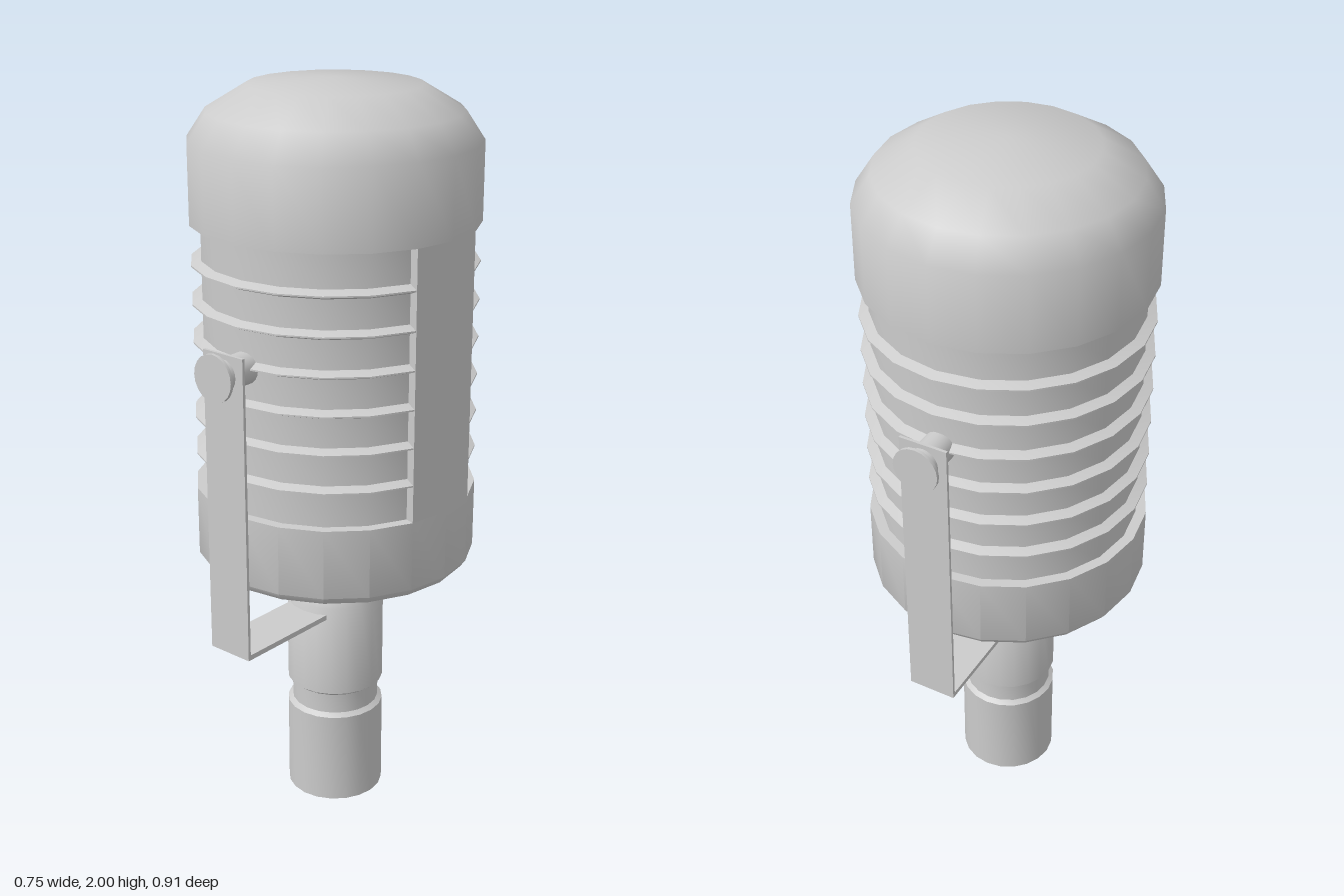
import * as THREE from 'three';
import { toCreasedNormals } from 'three/addons/utils/BufferGeometryUtils.js';

const material = new THREE.MeshStandardMaterial({ color: 0xcccccc });

function part(name, geometry, crease = 0.65) {
  const mesh = new THREE.Mesh(toCreasedNormals(geometry, crease), material);
  mesh.name = name;
  return mesh;
}

// Turned solid from [radius, height] pairs, listed bottom to top
function turned(points, sides) {
  return new THREE.LatheGeometry(points.map(([r, y]) => new THREE.Vector2(r, y)), sides);
}

export function createModel() {
  const model = new THREE.Group();
  model.name = 'microphone';

  const R = 0.375, CORE = 0.347, SIDES = 20;
  const BOTTOM = 0.937, TOP = 1.645;

  // Housing: lower band, recessed core with thin fins, upper band and dome
  const profile = [[0, 0.73], [0.36, 0.73], [R, 0.75], [R, BOTTOM], [CORE, BOTTOM]];
  for (let i = 0; i < 6; i++) {
    const y = 1.036 + i * 0.101;
    profile.push([CORE, y - 0.012], [0.373, y - 0.002], [0.373, y + 0.002], [CORE, y + 0.012]);
  }
  profile.push([CORE, TOP], [R, TOP], [R, 1.85], [0.327, 1.922], [0.222, 1.985], [0, 2]);
  model.add(part('housing', turned(profile, SIDES), 0.7));

  // Solid spine on the left side that interrupts the fins
  const spine = new THREE.Shape();
  const step = (Math.PI * 2) / SIDES;
  [-1, 0, 1].forEach((k) => spine.lineTo(R * Math.cos(k * step), R * Math.sin(k * step)));
  [1, 0, -1].forEach((k) => spine.lineTo(0.32 * Math.cos(k * step), 0.32 * Math.sin(k * step)));
  spine.curves.shift(); // drop the segment that starts at the origin
  const spineGeometry = new THREE.ExtrudeGeometry(spine, { depth: TOP - BOTTOM, bevelEnabled: false });
  spineGeometry.rotateX(-Math.PI / 2).translate(0, BOTTOM, 0);
  model.add(part('spine', spineGeometry));

  // Stand stem with a narrow neck groove
  model.add(part('stem', turned([
    [0, 0], [0.133, 0], [0.133, 0.262], [0.12, 0.272], [0.12, 0.328],
    [0.133, 0.338], [0.133, 0.6], [0.11, 0.635], [0, 0.635],
  ], SIDES)));

  // Bracket arm and pivot knob, front and back
  for (const [side, angle] of [['front', 0], ['back', Math.PI]]) {
    const arm = new THREE.Group();
    arm.name = side + 'Bracket';

    const foot = new THREE.BoxGeometry(0.132, 0.014, 0.308);
    arm.add(part('bracketFoot', foot.translate(0, 0.573, 0.266)));
    const upright = new THREE.BoxGeometry(0.132, 0.818, 0.008);
    arm.add(part('bracketUpright', upright.translate(0, 0.975, 0.416)));

    const knob = turned([
      [0, 0.33], [0.042, 0.33], [0.042, 0.436], [0.062, 0.448], [0.062, 0.457], [0, 0.457],
    ], SIDES);
    knob.rotateX(Math.PI / 2).translate(0, 1.33, 0);
    arm.add(part('pivotKnob', knob));

    arm.rotation.y = angle;
    model.add(arm);
  }

  return model;
}
